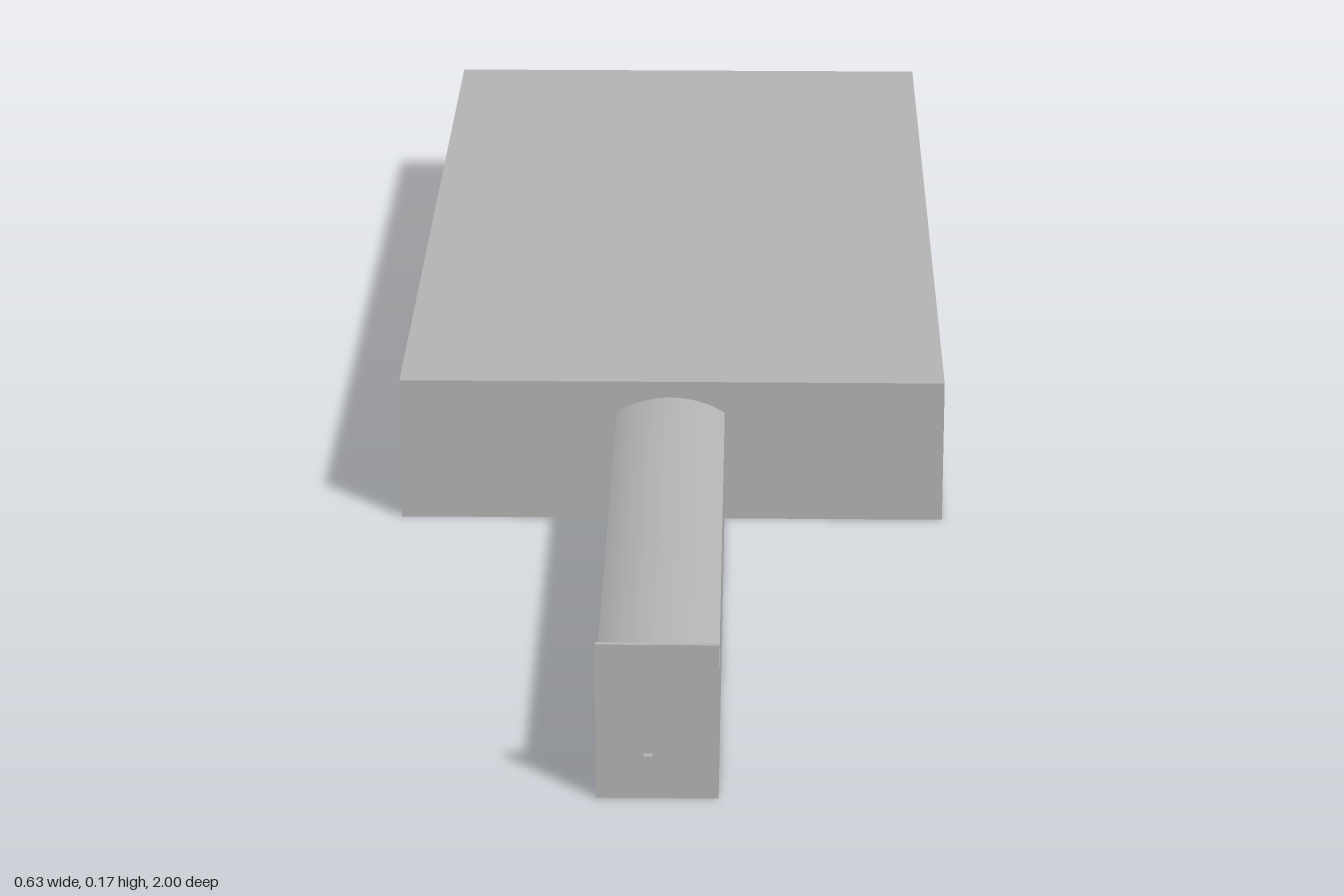
import * as THREE from 'three';

export function createModel() {
  const model = new THREE.Group();
  const grey = new THREE.MeshStandardMaterial({ color: 0xb3b3b3 });
  grey.name = 'grey';

  // Box given by its minimum and maximum corners
  function box(name, x0, x1, y0, y1, z0, z1) {
    const mesh = new THREE.Mesh(new THREE.BoxGeometry(x1 - x0, y1 - y0, z1 - z0), grey);
    mesh.position.set((x0 + x1) / 2, (y0 + y1) / 2, (z0 + z1) / 2);
    mesh.name = name;
    model.add(mesh);
  }

  // Main hall with a flat roof
  box('mainHall', -0.314, 0.307, 0, 0.167, -0.996, 0.245);

  // Long corridor with a shallow curved roof
  const left = -0.066, right = 0.057, eave = 0.13, rise = 0.018;
  const middle = (left + right) / 2, half = (right - left) / 2;
  const radius = (half * half + rise * rise) / (2 * rise);
  const angle = Math.asin(half / radius);
  const profile = new THREE.Shape();
  profile.moveTo(left, 0);
  profile.lineTo(right, 0);
  profile.lineTo(right, eave);
  profile.absarc(middle, eave + rise - radius, radius, Math.PI / 2 - angle, Math.PI / 2 + angle, false);
  profile.lineTo(left, 0);
  const corridor = new THREE.Mesh(
    new THREE.ExtrudeGeometry(profile, { depth: 0.743, bevelEnabled: false, curveSegments: 12 }), grey);
  corridor.position.z = 0.245;
  corridor.name = 'corridor';
  model.add(corridor);

  // Upright end wall at the entrance
  box('entranceWall', left, right, 0, 0.167, 0.987, 0.993);

  // Thin doors, nearly flush with the walls
  box('sideDoor', 0.306, 0.3075, 0, 0.09, -0.835, -0.785);
  box('backDoor', 0.09, 0.135, 0, 0.09, -0.9965, -0.995);

  // Small door handles
  box('frontHandle', -0.018, -0.009, 0.046, 0.049, 0.992, 1);
  box('sideHandle', 0.307, 0.313, 0.046, 0.049, -0.825, -0.816);
  box('backHandle', 0.104, 0.113, 0.046, 0.049, -1, -0.996);

  return model;
}
